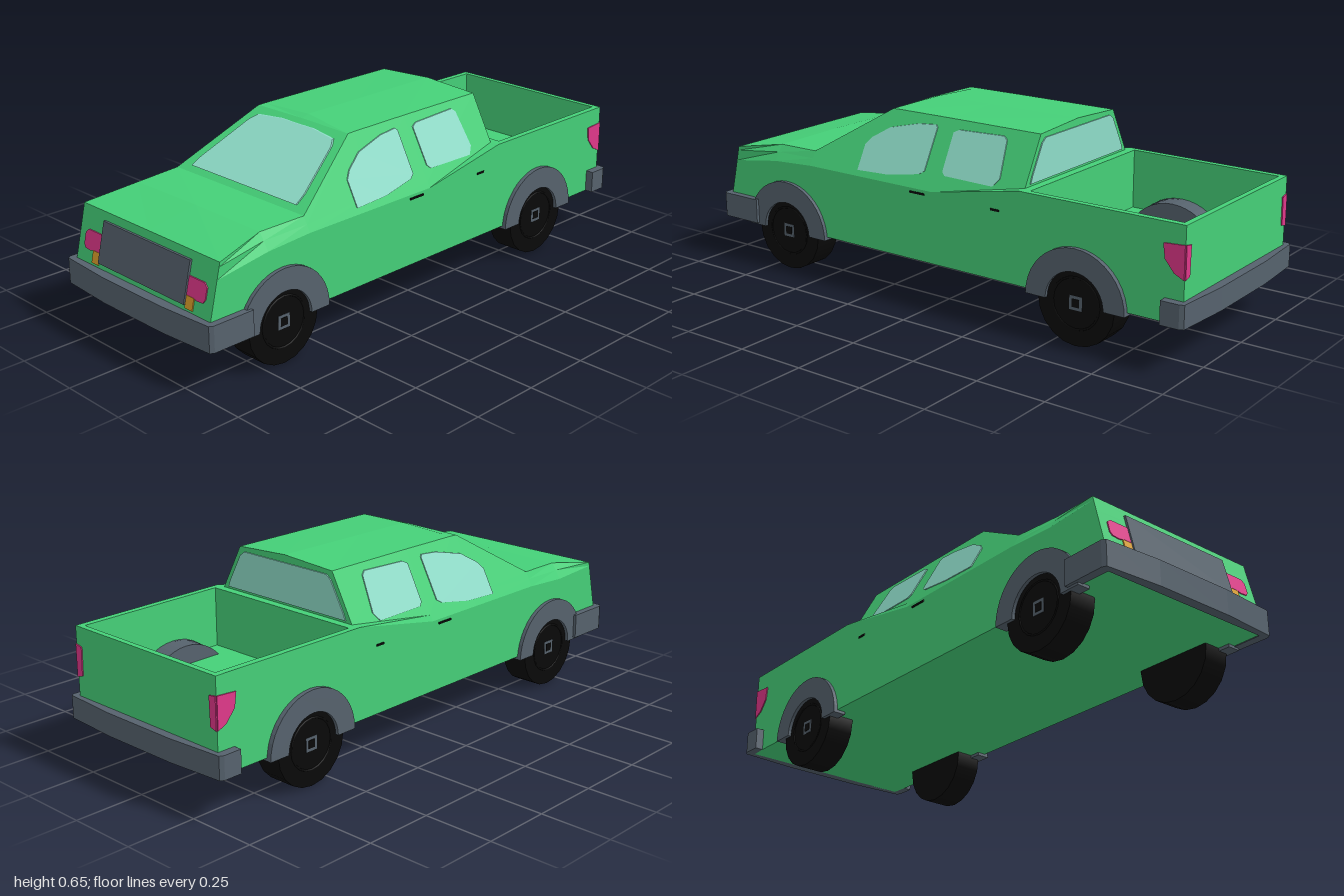
import * as THREE from 'three';

const mat = (name, color) => {
  const m = new THREE.MeshStandardMaterial({ color });
  m.name = name;
  return m;
};

export function createModel() {
  const truck = new THREE.Group();
  truck.name = 'pickupTruck';
  const paint = mat('green paint', 0x45d078);
  const glass = mat('pale glass', 0x8edcc8);
  const trim = mat('grey trim', 0x56626d);
  const rubber = mat('black rubber', 0x090909);
  const lamp = mat('pink lamp', 0xe0388a);
  const amber = mat('amber lamp', 0xdca02c);

  const add = (name, geo, material, x = 0, y = 0, z = 0) => {
    const mesh = new THREE.Mesh(geo, material);
    mesh.name = name;
    mesh.position.set(x, y, z);
    truck.add(mesh);
    return mesh;
  };
  const shapeOf = (pts) => new THREE.Shape(pts.map((p) => new THREE.Vector2(p[0], p[1])));

  // Thin plate drawn in (u, v), then laid on a surface by rule(u, v, depth)
  const plate = (name, pts, material, rule, depth = 0.004) => {
    const geo = new THREE.ExtrudeGeometry(shapeOf(pts), { depth, bevelEnabled: false });
    const p = geo.attributes.position;
    for (let i = 0; i < p.count; i++) p.setXYZ(i, ...rule(p.getX(i), p.getY(i), p.getZ(i)));
    geo.computeVertexNormals();
    return add(name, geo, material);
  };
  // Plan outline in (x, z), raised from y0 to y1
  const slab = (name, pts, y0, y1, material, hole) => {
    const flip = (list) => list.map(([x, z]) => [x, -z]);
    const shape = shapeOf(flip(pts));
    if (hole) shape.holes.push(shapeOf(flip(hole)));
    const geo = new THREE.ExtrudeGeometry(shape, { depth: y1 - y0, bevelEnabled: false });
    geo.rotateX(-Math.PI / 2);
    return add(name, geo, material, 0, y0, 0);
  };

  // Surface rules of the bodywork
  const noseZ = (y) => 0.985 - (y - 0.155) * 0.24;
  const cabX = (y) => 0.343 - 0.54 * (y - 0.41);
  const screenZ = (y) => 0.555 - (y - 0.46) * (0.29 / 0.178);
  const bedX = (z) => 0.343 + (z + 0.36) * 0.008;

  // Nose, hood and cab: half sections from sill to centre line, front to back
  const cabSide = (z, yc, yd, ye) =>
    [[0.343, 0.155, z], [0.343, 0.41, z], [cabX(yc), yc, z], [cabX(yd), yd, z], [0, ye, z]];
  const sections = [
    [0.155, 0.37, 0.41, 0.425].map((y) => [0.343, y, noseZ(y)]).concat([[0, 0.425, noseZ(0.425)]]),
    [[0.343, 0.155, 0.73], [0.343, 0.4, 0.73], [0.324, 0.43, 0.73], [0.306, 0.455, 0.73], [0, 0.458, 0.73]],
    cabSide(0.555, 0.435, 0.46, 0.46),
    cabSide(0.265, 0.45, 0.638, 0.641),
    cabSide(0.235, 0.45, 0.639, 0.649),
    cabSide(0, 0.43, 0.64, 0.65),
    [[0.343, 0.155, -0.36], [0.343, 0.477, -0.36], [cabX(0.477), 0.477, -0.36], [0.219, 0.64, -0.36], [0, 0.652, -0.36]],
  ];
  const n = 9;
  const verts = [];
  const index = [];
  for (const s of sections) {
    verts.push(...s.flat());
    for (let k = 3; k >= 0; k--) verts.push(-s[k][0], s[k][1], s[k][2]);
  }
  for (let i = 0; i < sections.length - 1; i++) {
    for (let j = 0; j < n; j++) {
      const a = i * n + j, d = i * n + ((j + 1) % n), b = a + n, c = d + n;
      index.push(a, b, c, a, c, d);
    }
  }
  const back = (sections.length - 1) * n;
  for (let k = 0; k < 4; k++) {
    const q = [k, k + 1, n - 2 - k, n - 1 - k];
    index.push(q[0], q[1], q[3]);
    index.push(back + q[0], back + q[3], back + q[1]);
    if (k < 3) {
      index.push(q[1], q[2], q[3]);
      index.push(back + q[1], back + q[3], back + q[2]);
    }
  }
  let cab = new THREE.BufferGeometry();
  cab.setAttribute('position', new THREE.Float32BufferAttribute(verts, 3));
  cab.setIndex(index);
  cab = cab.toNonIndexed();
  cab.computeVertexNormals();
  add('cabAndHood', cab, paint);

  // Open cargo bed
  const rear = bedX(-0.97);
  const inner = [[0.32, -0.39], [0.315, -0.95], [-0.315, -0.95], [-0.32, -0.39]];
  slab('bedWalls', [[0.343, -0.36], [rear, -0.97], [-rear, -0.97], [-0.343, -0.36]], 0.155, 0.477, paint, inner);
  slab('bedFloor', inner, 0.155, 0.266, paint);

  // Bumpers wrapping round the corners
  const bumper = (name, tip, y0, y1, s) => slab(name, [
    [0.368, tip], [0.368, 0.972], [0.36, 0.986], [0.15, 1], [-0.15, 1], [-0.36, 0.986], [-0.368, 0.972], [-0.368, tip],
    [-0.338, tip], [-0.335, 0.965], [0.335, 0.965], [0.338, tip],
  ].map(([x, z]) => [x, s * z]), y0, y1, trim);
  bumper('frontBumper', 0.815, 0.152, 0.242, 1);
  bumper('rearBumper', 0.905, 0.155, 0.235, -1);

  // Windscreen, rear window and grille
  const half = [[0.26, 0.476], [0.256, 0.5], [0.203, 0.605], [0.185, 0.62], [0.08, 0.628]];
  const mirrored = (pts) => pts.concat(pts.map(([x, y]) => [-x, y]).reverse());
  plate('windscreen', mirrored(half), glass, (x, y, d) => [x, y, screenZ(y) + d * 2]);
  plate('rearWindow', mirrored([[0.28, 0.485], [0.27, 0.51], [0.215, 0.61], [0.195, 0.625]]), glass,
    (x, y, d) => [-x, y, -0.36 - d]);
  const onNose = (x, y, d) => [x, y, noseZ(y) + d];
  plate('grille', mirrored([[0.22, 0.26], [0.22, 0.398]]), trim, onNose, 0.008);

  const frontGlass = [[0.337, 0.43], [0.337, 0.515], [0.315, 0.54], [0.25, 0.58], [0.134, 0.607], [0.06, 0.613],
    [0.052, 0.605], [0.052, 0.468], [0.07, 0.456], [0.2, 0.435]];
  const rearGlass = [[-0.02, 0.6], [-0.04, 0.61], [-0.225, 0.616], [-0.24, 0.605], [-0.256, 0.49],
    [-0.235, 0.464], [-0.035, 0.466], [-0.022, 0.478]];
  const tail = [[-0.895, 0.41], [-0.97, 0.415], [-0.97, 0.303], [-0.935, 0.32], [-0.902, 0.36]];
  const tailBack = [[0.312, 0.31], [rear, 0.303], [rear, 0.415], [0.309, 0.41]];
  const head = [[0.222, 0.291], [0.255, 0.291], [0.27, 0.286], [0.3, 0.288], [0.309, 0.3], [0.309, 0.338], [0.295, 0.35], [0.222, 0.35]];
  const indicator = [[0.222, 0.25], [0.258, 0.25], [0.258, 0.29], [0.222, 0.29]];

  for (const s of [1, -1]) {
    const side = s > 0 ? 'left' : 'right';
    // Side glass and lamps
    const turn = (pts) => pts.map(([z, y]) => [-s * z, y]);
    const swap = (pts) => pts.map(([x, y]) => [s * x, y]);
    const onCab = (u, y, d) => [s * (cabX(y) + d), y, -s * u];
    plate(side + 'FrontWindow', turn(frontGlass), glass, onCab);
    plate(side + 'RearWindow', turn(rearGlass), glass, onCab);
    plate(side + 'TailLampSide', turn(tail), lamp, (u, y, d) => [s * (bedX(-s * u) + d), y, -s * u]);
    plate(side + 'TailLampBack', swap(tailBack), lamp, (x, y, d) => [x, y, -0.974 + d]);
    plate(side + 'Headlamp', swap(head), lamp, onNose);
    plate(side + 'Indicator', swap(indicator), amber, onNose);

    // Door handles
    add(side + 'FrontHandle', new THREE.BoxGeometry(0.006, 0.007, 0.065), rubber, s * 0.343, 0.396, 0.063);
    add(side + 'RearHandle', new THREE.BoxGeometry(0.006, 0.007, 0.035), rubber, s * 0.343, 0.396, -0.265);

    for (const [end, z] of [['Front', 0.673], ['Rear', -0.587]]) {
      // Tyre, rim and hub
      const tyre = new THREE.CylinderGeometry(0.145, 0.145, 0.098, 20).rotateZ(Math.PI / 2);
      add(side + end + 'Tyre', tyre, rubber, s * 0.296, 0.145, z);
      const rim = new THREE.TorusGeometry(0.088, 0.004, 6, 20).rotateY(Math.PI / 2);
      add(side + end + 'Rim', rim, rubber, s * 0.344, 0.145, z);
      add(side + end + 'Hub', new THREE.BoxGeometry(0.004, 0.048, 0.048), trim, s * 0.344, 0.146, z);
      add(side + end + 'HubCentre', new THREE.BoxGeometry(0.005, 0.028, 0.028), rubber, s * 0.345, 0.146, z);

      // Wheel arch flare on the body side
      const arch = new THREE.Shape();
      arch.absarc(0, 0, 0.188, 0, Math.PI, false);
      arch.absarc(0, 0, 0.11, Math.PI, 0, true);
      const archGeo = new THREE.ExtrudeGeometry(arch, { depth: 0.047, bevelEnabled: false, curveSegments: 10 });
      archGeo.translate(0, 0, -0.0235).rotateY(Math.PI / 2);
      add(side + end + 'WheelArch', archGeo, trim, s * 0.3335, 0.144, z);
    }

    // Wheel well rising through the bed floor
    const well = new THREE.Shape();
    well.absarc(0, 0, 0.188, 0.12, Math.PI - 0.12, false);
    const wellGeo = new THREE.ExtrudeGeometry(well, { depth: 0.075, bevelEnabled: false, curveSegments: 10 });
    wellGeo.translate(0, 0, -0.0375).rotateY(Math.PI / 2);
    add(side + 'WheelWell', wellGeo, trim, s * 0.2825, 0.144, -0.592);
  }
  return truck;
}
